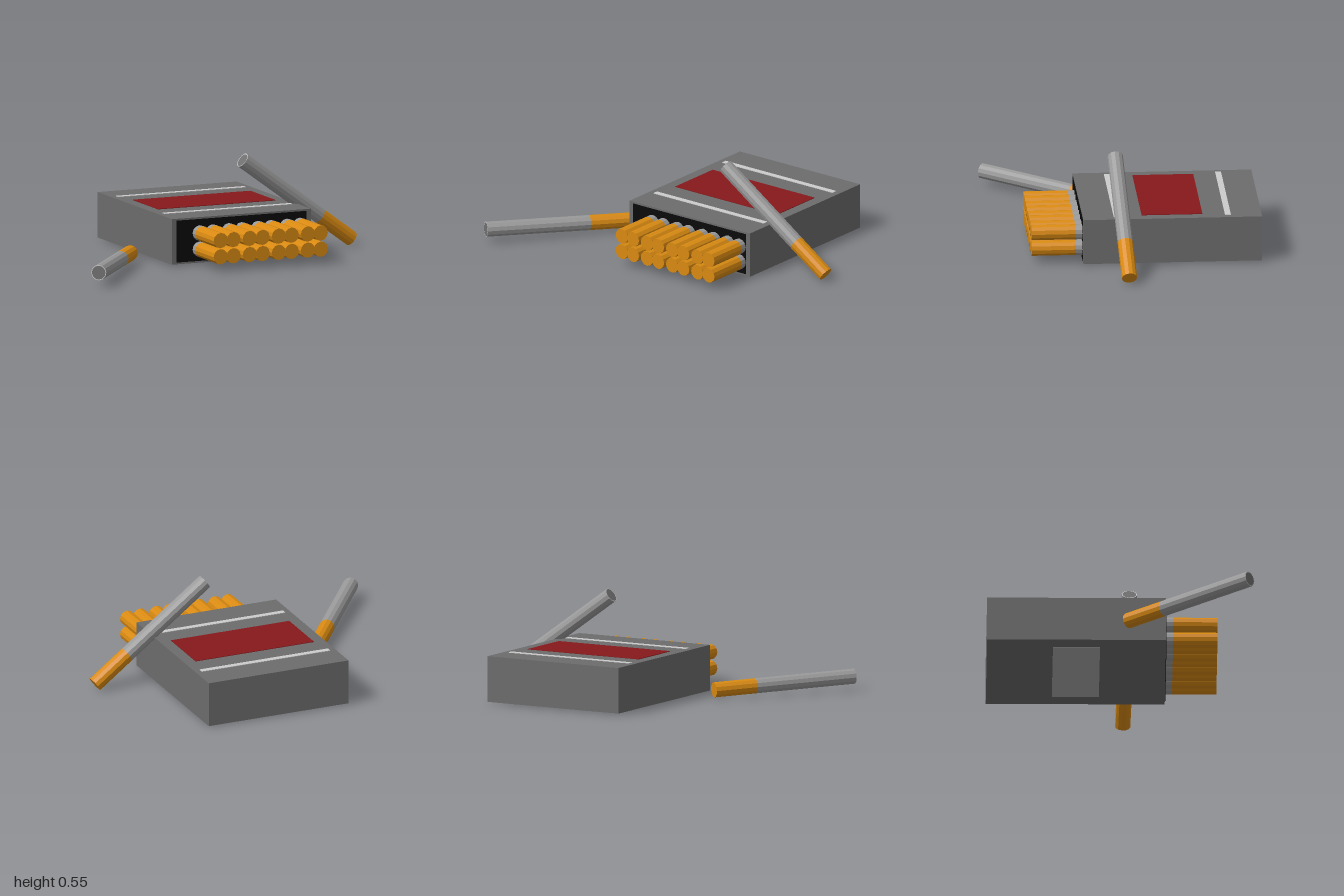
import * as THREE from 'three';

const mat = (color) => new THREE.MeshStandardMaterial({ color, flatShading: true });
const R = 0.042, LENGTH = 0.82, FILTER = 0.24, SIDES = 12;

export function createModel() {
  const model = new THREE.Group();
  const carton = mat(0x6c6c6c), dark = mat(0x0a0a0a), red = mat(0x86191c);
  const pale = mat(0xcccccc), paper = mat(0x999999), orange = mat(0xd98a12), tobacco = mat(0x707070);

  const add = (parent, name, geometry, material, x = 0, y = 0, z = 0) => {
    const mesh = new THREE.Mesh(geometry, material);
    mesh.name = name;
    mesh.position.set(x, y, z);
    parent.add(mesh);
    return mesh;
  };

  // One cigarette along +y: filter end at the origin, tobacco tip at the top
  const paperGeo = new THREE.CylinderGeometry(R, R, LENGTH - FILTER, SIDES, 1, true);
  const filterGeo = new THREE.CylinderGeometry(R, R, FILTER, SIDES);
  const tipGeo = new THREE.CircleGeometry(R * 0.9, SIDES).rotateX(-Math.PI / 2);
  const rimGeo = new THREE.RingGeometry(R * 0.9, R, SIDES).rotateX(-Math.PI / 2);
  const cigarette = (name, start, direction) => {
    const g = new THREE.Group();
    g.name = name;
    add(g, 'filter', filterGeo, orange, 0, FILTER / 2, 0);
    add(g, 'paper', paperGeo, paper, 0, (LENGTH + FILTER) / 2, 0);
    add(g, 'tobaccoTip', tipGeo, tobacco, 0, LENGTH, 0);
    add(g, 'paperRim', rimGeo, pale, 0, LENGTH, 0);
    g.position.copy(start);
    g.quaternion.setFromUnitVectors(new THREE.Vector3(0, 1, 0), direction.clone().normalize());
    return g;
  };

  // Pack lying flat, turned so its open end points front left
  const pack = new THREE.Group();
  pack.name = 'pack';
  pack.position.set(-0.095, 0.135, -0.365);
  pack.rotation.y = 0.602;
  model.add(pack);
  add(pack, 'carton', new THREE.BoxGeometry(0.827, 0.25, 0.97), carton);
  add(pack, 'opening', new THREE.BoxGeometry(0.775, 0.23, 0.006), dark, 0, 0, 0.485);
  add(pack, 'topLabel', new THREE.BoxGeometry(0.7, 0.006, 0.33), red, 0, 0.125, 0);
  for (const side of [-1, 1]) {
    add(pack, 'topStripe', new THREE.BoxGeometry(0.76, 0.006, 0.032), pale, 0, 0.125, side * 0.302);
  }
  add(pack, 'bottomLabel', new THREE.BoxGeometry(0.63, 0.006, 0.255), mat(0xa8a8a8), 0, -0.125, 0);

  // Two rows of four pairs sticking out of the opening
  for (const y of [-0.05, 0.039]) {
    for (let i = 0; i < 8; i++) {
      const x = -0.25 + Math.floor(i / 2) * 0.173 + (i % 2) * 0.077;
      pack.add(cigarette('packedCigarette', new THREE.Vector3(x, y, 0.764), new THREE.Vector3(0, 0, -1)));
    }
  }

  // Loose cigarettes: one on the ground, one leaning on the pack
  const loose = (name, a, b) => {
    const start = new THREE.Vector3(...a);
    model.add(cigarette(name, start, new THREE.Vector3(...b).sub(start)));
  };
  loose('looseCigarette', [-0.405, 0.053, 0.18], [-0.435, 0.08, 1]);
  loose('leaningCigarette', [0.677, 0.037, -0.58], [0.145, 0.522, -0.177]);
  return model;
}
